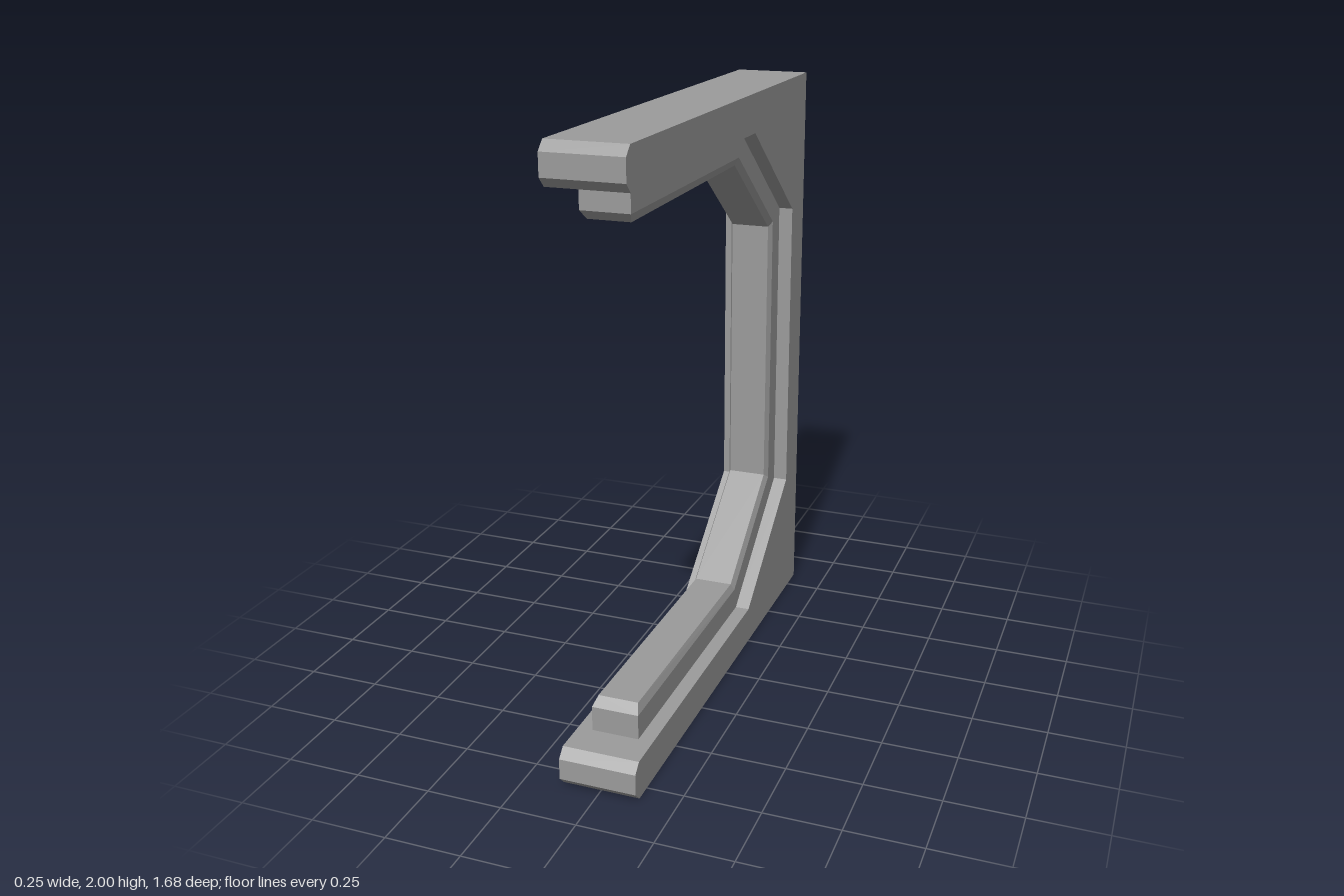
import * as THREE from 'three';

const HALF = 0.127; // half width of the frame
const RAIL = 0.078; // half width of the rail
const RIDGE = 0.067; // half width of the rail's top face

// Append the mirror image (about y = 1) of a [z, y] path
const mirrored = (path) => [...path, ...path.map(([z, y]) => [z, 2 - y]).reverse()];

export function createModel() {
  const group = new THREE.Group();
  const material = new THREE.MeshStandardMaterial({
    color: 0x9b9b9b, flatShading: true, side: THREE.DoubleSide,
  });

  const add = (name, geometry) => {
    const mesh = new THREE.Mesh(geometry, material);
    mesh.name = name;
    group.add(mesh);
  };

  // Flat-shaded sheet through rows of [x, y, z] points
  const sheet = (rows) => {
    const pos = [];
    for (let j = 0; j < rows.length - 1; j++) {
      for (let i = 0; i < rows[j].length - 1; i++) {
        const a = rows[j][i], b = rows[j + 1][i];
        const c = rows[j + 1][i + 1], d = rows[j][i + 1];
        pos.push(...a, ...b, ...d, ...b, ...c, ...d);
      }
    }
    const g = new THREE.BufferGeometry();
    g.setAttribute('position', new THREE.Float32BufferAttribute(pos, 3));
    g.computeVertexNormals();
    return g;
  };

  // Band that follows a [z, y] path between two x positions
  const band = (path, x0, x1) => sheet(path.map(([z, y]) => [[x0, y, z], [x1, y, z]]));

  // Frame outline: over the top arm and its bevelled tip, then along the inside
  const arm = [[-0.84, 2], [0.81, 2], [0.84, 1.97], [0.84, 1.9], [0.81, 1.87], [0.695, 1.87]];
  const inner = [[0.695, 1.87], [-0.25, 1.87], [-0.7, 1.53]];
  const outline = mirrored([...arm, ...inner.slice(1)]);

  // Outer skin of both arms; the back of the frame stays open
  add('topArm', band(arm, -HALF, HALF));
  add('bottomArm', band(arm.map(([z, y]) => [z, 2 - y]).reverse(), -HALF, HALF));

  // Side walls and the inner ledges beside the rail slot
  for (const s of [1, -1]) {
    const side = s > 0 ? 'left' : 'right';
    const shape = new THREE.Shape(outline.map(([z, y]) => new THREE.Vector2(-s * z, y)));
    const wall = new THREE.ShapeGeometry(shape);
    wall.rotateY(s * Math.PI / 2);
    wall.translate(s * HALF, 0, 0);
    add(side + 'Wall', wall);
    const [x0, x1] = s > 0 ? [RAIL, HALF] : [-HALF, -RAIL];
    add(side + 'Ledge', band(mirrored(inner), x0, x1));
  }

  // Hollow inner rail with bevelled edges
  const base = mirrored(inner);
  const shoulder = mirrored([[0.695, 1.787], [-0.23, 1.79], [-0.622, 1.495]]);
  const crest = mirrored([[0.667, 1.758], [-0.22, 1.765], [-0.6, 1.48]]);
  const at = (path, j, x) => [x, path[j][1], path[j][0]];
  add('rail', sheet(base.map((_, j) => [
    at(base, j, -RAIL), at(shoulder, j, -RAIL), at(crest, j, -RIDGE),
    at(crest, j, RIDGE), at(shoulder, j, RAIL), at(base, j, RAIL),
  ])));

  // Bevelled caps at the two rail ends
  const cap = (j) => [
    [at(base, j, -RAIL), at(base, j, RAIL)],
    [at(shoulder, j, -RAIL), at(shoulder, j, RAIL)],
    [at(crest, j, -RIDGE), at(crest, j, RIDGE)],
  ];
  add('topRailEnd', sheet(cap(0).reverse()));
  add('bottomRailEnd', sheet(cap(base.length - 1)));

  return group;
}
